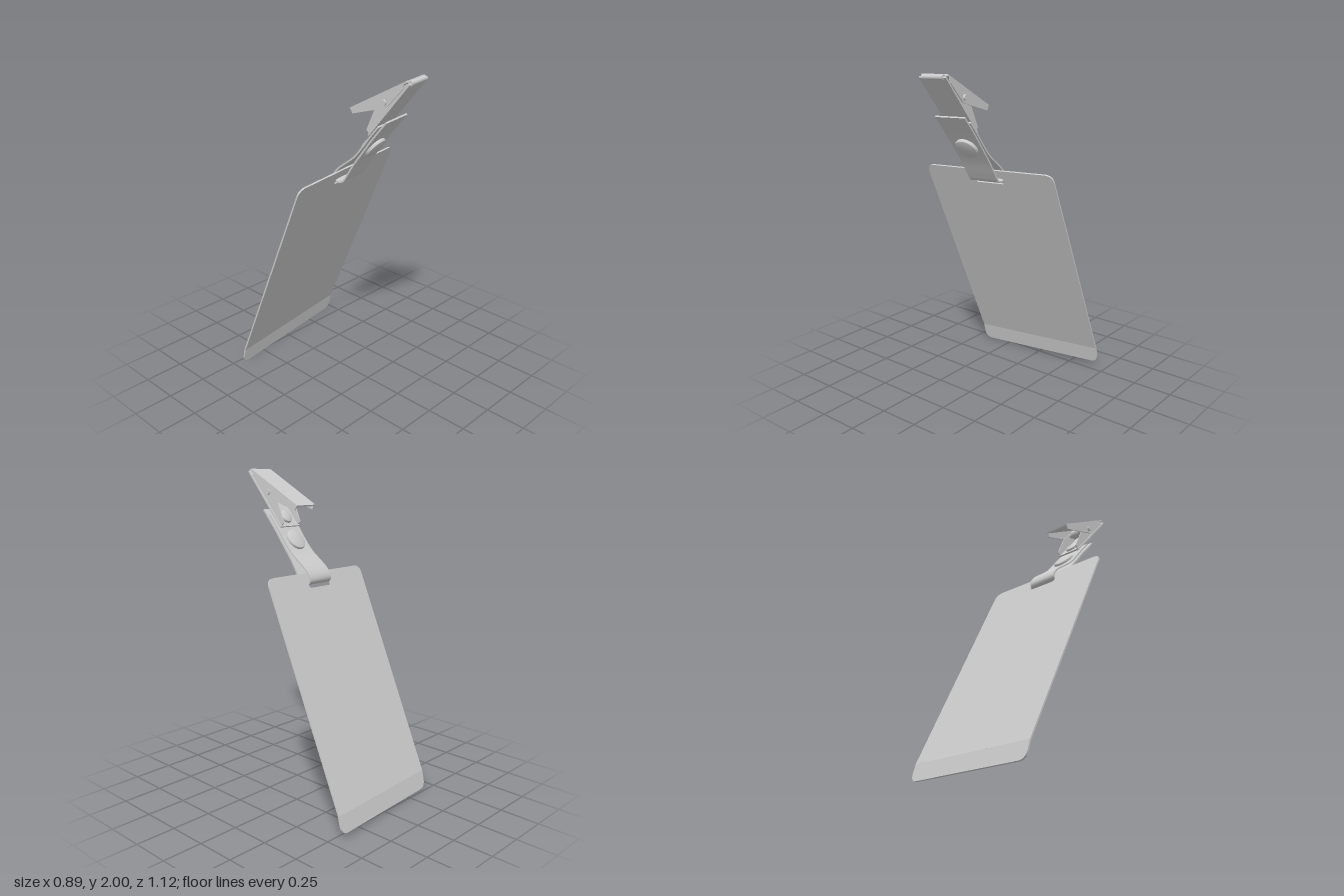
import * as THREE from 'three';
import { toCreasedNormals } from 'three/addons/utils/BufferGeometryUtils.js';

const grey = new THREE.MeshStandardMaterial({ color: 0xcccccc });
grey.name = 'light grey';

// Mean tilt of the strap and clip: turns a lathe axis to the strap's outward normal
const STRAP_TILT = Math.atan2(0.78, -0.62);

function mesh(name, geometry) {
  const m = new THREE.Mesh(geometry, grey);
  m.name = name;
  return m;
}

// Side outline given as [z, y] points, extruded across x and centred at x
function sidePiece(name, outline, width, x = 0) {
  const shape = new THREE.Shape(outline.map(([z, y]) => new THREE.Vector2(z, y)));
  const g = new THREE.ExtrudeGeometry(shape, { depth: width, bevelEnabled: false });
  g.translate(0, 0, -width / 2).rotateY(-Math.PI / 2).translate(x, 0, 0);
  return mesh(name, toCreasedNormals(g, 0.5));
}

// Band of even thickness following a side path of [z, y] points
function band(name, path, width, thickness, smooth = false) {
  let pts = path.map(([z, y]) => new THREE.Vector2(z, y));
  if (smooth) pts = new THREE.SplineCurve(pts).getPoints(64);
  const front = [], back = [];
  pts.forEach((p, i) => {
    const a = pts[Math.max(i - 1, 0)], b = pts[Math.min(i + 1, pts.length - 1)];
    const d = b.clone().sub(a).normalize().multiplyScalar(thickness / 2);
    front.push([p.x - d.y, p.y + d.x]);
    back.unshift([p.x + d.y, p.y - d.x]);
  });
  return sidePiece(name, [...front, ...back], width);
}

// Panel hanging down from y = 0, with rounded corners where asked
function panel(name, w, h, rTop, rBottom, slot) {
  const s = new THREE.Shape();
  s.moveTo(-w + rTop, 0);
  s.quadraticCurveTo(-w, 0, -w, -rTop);
  s.lineTo(-w, -h + rBottom);
  s.quadraticCurveTo(-w, -h, -w + rBottom, -h);
  s.lineTo(w - rBottom, -h);
  s.quadraticCurveTo(w, -h, w, -h + rBottom);
  s.lineTo(w, -rTop);
  s.quadraticCurveTo(w, 0, w - rTop, 0);
  s.closePath();
  if (slot) {
    const hole = new THREE.Path();
    hole.absarc(-slot.half + slot.r, slot.y, slot.r, Math.PI / 2, Math.PI * 1.5);
    hole.absarc(slot.half - slot.r, slot.y, slot.r, -Math.PI / 2, Math.PI / 2);
    hole.closePath();
    s.holes.push(hole);
  }
  const g = new THREE.ExtrudeGeometry(s, { depth: 0.01, bevelEnabled: false, curveSegments: 8 });
  g.translate(0, 0, -0.005);
  return mesh(name, toCreasedNormals(g, 0.5));
}

// Domed round cap, facing along the strap normal (side = 1) or against it (-1)
function cap(name, r, h, y, z, side) {
  const profile = [[0, 0], [r * 0.97, 0], [r, h * 0.3], [r * 0.93, h * 0.75], [r * 0.75, h * 0.92], [0, h]];
  const g = new THREE.LatheGeometry(profile.map(p => new THREE.Vector2(...p)), 40);
  const m = mesh(name, toCreasedNormals(g, 0.7));
  m.position.set(0, y, z);
  m.rotation.x = STRAP_TILT + (side < 0 ? Math.PI : 0);
  return m;
}

function crossBar(name, r, length, y, z) {
  const m = mesh(name, new THREE.CylinderGeometry(r, r, length, 20));
  m.rotation.z = Math.PI / 2;
  m.position.set(0, y, z);
  return m;
}

function buildCard() {
  const card = new THREE.Group();
  card.name = 'card';
  const main = panel('cardPanel', 0.445, 1.386, 0.055, 0, { half: 0.105, r: 0.02, y: -0.074 });
  main.position.set(0, 1.4, 0.068);
  main.rotation.x = 0.411;
  // lower edge bends slightly forward
  const lip = panel('cardLowerEdge', 0.445, 0.112, 0, 0.055);
  lip.position.set(0, 0.13, -0.486);
  lip.rotation.x = 0.24;
  card.add(main, lip);
  return card;
}

function buildStrap() {
  const strap = new THREE.Group();
  strap.name = 'strap';
  // front leaf down, through the slot, and back up to the clip
  strap.add(band('strapLoop', [
    [0.408, 1.755], [0.32, 1.65], [0.255, 1.565], [0.18, 1.465], [0.125, 1.38],
    [0.095, 1.342], [0.05, 1.336], [0.032, 1.365], [0.065, 1.418], [0.175, 1.505],
    [0.24, 1.578], [0.295, 1.65], [0.355, 1.722],
  ], 0.2, 0.01, true));
  strap.add(cap('snapFront', 0.073, 0.026, 1.563, 0.256, 1));
  strap.add(cap('snapBack', 0.07, 0.026, 1.576, 0.238, -1));
  return strap;
}

function buildClip() {
  const clip = new THREE.Group();
  clip.name = 'clip';
  clip.add(band('backLever', [[0.527, 1.993], [0.154, 1.79]], 0.174, 0.01));
  clip.add(band('frontLever', [[0.545, 1.982], [0.278, 1.658]], 0.178, 0.01));
  // side flanges of both levers
  for (const s of [-1, 1]) {
    clip.add(sidePiece('backLeverFlange', [
      [0.51, 1.983], [0.156, 1.792], [0.17, 1.764], [0.313, 1.807], [0.4, 1.835], [0.505, 1.95],
    ], 0.007, s * 0.084));
    clip.add(sidePiece('frontLeverFlange', [
      [0.53, 1.97], [0.287, 1.66], [0.26, 1.684], [0.318, 1.812], [0.4, 1.9],
    ], 0.007, s * 0.077));
  }
  clip.add(crossBar('pivotPin', 0.017, 0.2, 1.862, 0.385));
  clip.add(crossBar('springCoil', 0.03, 0.1, 1.862, 0.385));
  clip.add(crossBar('jawRoll', 0.015, 0.14, 1.982, 0.54));
  // rivet joining clip and strap
  clip.add(cap('rivetInside', 0.045, 0.025, 1.71, 0.322, -1));
  clip.add(cap('rivetOutside', 0.045, 0.018, 1.7, 0.338, 1));
  return clip;
}

export function createModel() {
  const model = new THREE.Group();
  model.name = 'badgeHolder';
  // everything shares one slight turn and lean
  const tilted = new THREE.Group();
  tilted.name = 'tiltedBadge';
  tilted.rotation.set(0, 0.096, 0.041, 'YXZ');
  tilted.position.x = 0.05;
  tilted.add(buildCard(), buildStrap(), buildClip());
  model.add(tilted);
  return model;
}
